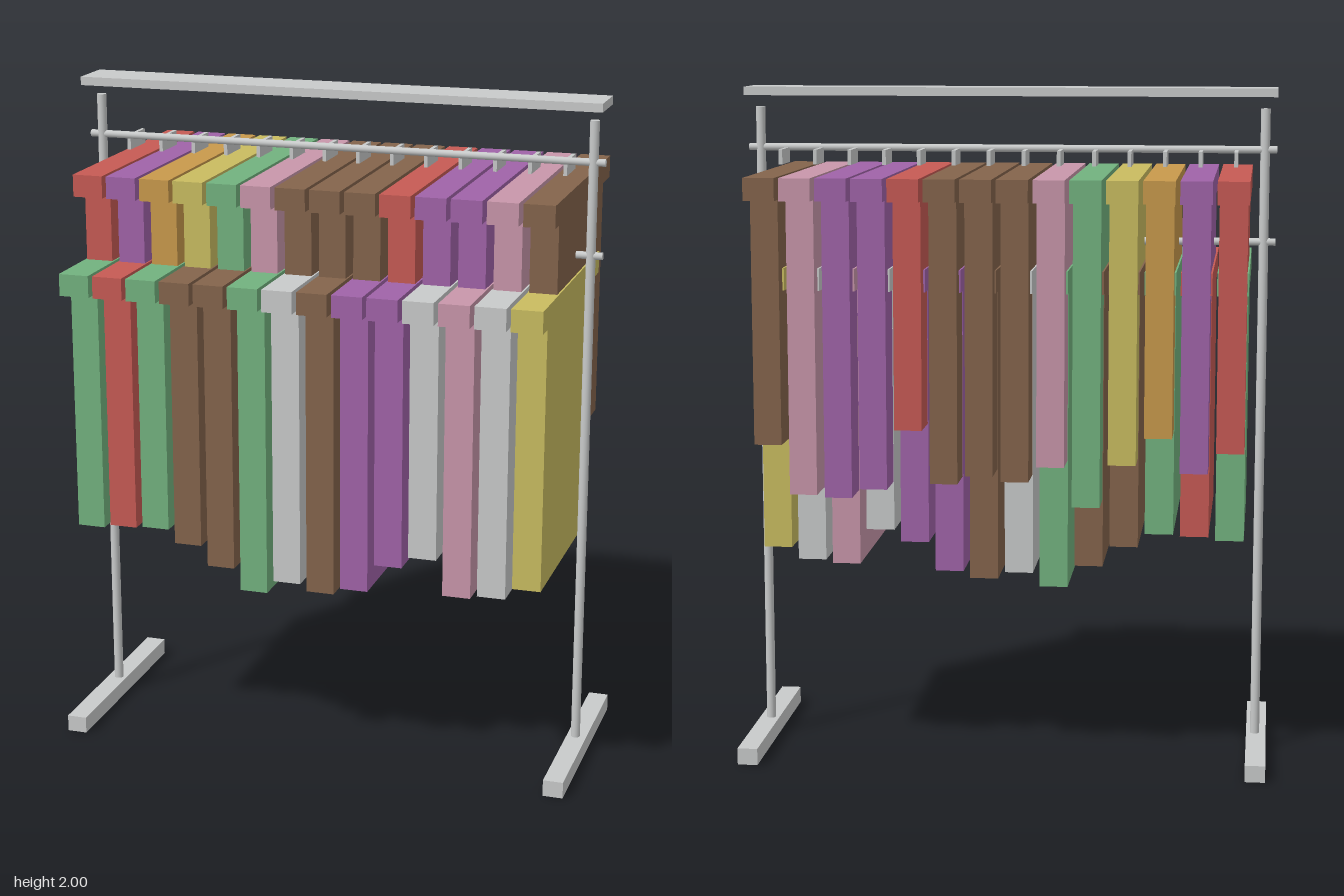
import * as THREE from 'three';

const mat = (name, color) => {
  const m = new THREE.MeshStandardMaterial({ color });
  m.name = name;
  return m;
};

export function createModel() {
  const model = new THREE.Group();
  model.name = 'clothesRack';

  const colours = {
    red: mat('red cloth', 0xc65a54),
    purple: mat('purple cloth', 0xa063a8),
    orange: mat('orange cloth', 0xc8994c),
    yellow: mat('yellow cloth', 0xc9bc60),
    green: mat('green cloth', 0x72b27f),
    pink: mat('pink cloth', 0xc896aa),
    brown: mat('brown cloth', 0x84644c),
    grey: mat('pale grey', 0xc8caca),
  };

  const add = (parent, name, geometry, material, x, y, z) => {
    const mesh = new THREE.Mesh(geometry, material);
    mesh.name = name;
    mesh.position.set(x, y, z);
    parent.add(mesh);
    return mesh;
  };
  const box = (parent, name, w, h, d, material, x, y, z) =>
    add(parent, name, new THREE.BoxGeometry(w, h, d), material, x, y, z);

  // Frame: feet, posts, two rails and the top shelf
  const frame = new THREE.Group();
  frame.name = 'frame';
  model.add(frame);
  for (const s of [-1, 1]) {
    box(frame, 'foot', 0.06, 0.05, 0.66, colours.grey, s * 0.754, 0.025, 0);
    add(frame, 'post', new THREE.CylinderGeometry(0.014, 0.014, 1.89, 16),
      colours.grey, s * 0.75, 0.995, 0);
  }
  for (const y of [1.82, 1.55]) {
    add(frame, 'rail', new THREE.CylinderGeometry(0.011, 0.011, 1.57, 16),
      colours.grey, 0, y, 0).rotation.z = Math.PI / 2;
  }
  box(frame, 'topShelf', 1.57, 0.025, 0.143, colours.grey, 0, 1.9875, 0);

  // Garments: [colour, hem height], from -x to +x
  const upper = [
    ['red', 0.98], ['purple', 0.92], ['orange', 1.02], ['yellow', 0.94], ['green', 0.815],
    ['pink', 0.93], ['brown', 0.885], ['brown', 0.9], ['brown', 0.875], ['red', 1.03],
    ['purple', 0.855], ['purple', 0.828], ['pink', 0.835], ['brown', 0.98],
  ];
  const lower = [
    ['green', 0.7], ['red', 0.71], ['green', 0.715], ['brown', 0.675], ['brown', 0.615],
    ['green', 0.55], ['grey', 0.59], ['brown', 0.57], ['purple', 0.59], ['purple', 0.675],
    ['grey', 0.71], ['pink', 0.605], ['grey', 0.615], ['yellow', 0.65],
  ];
  const xAt = (i) => (i - 6.5) * 0.1027;

  const hangRow = (name, list, top, z, bodyWidth) => {
    const row = new THREE.Group();
    row.name = name;
    model.add(row);
    list.forEach(([colour, hem], i) => {
      const garment = new THREE.Group();
      garment.name = 'garment';
      row.add(garment);
      const c = colours[colour];
      box(garment, 'body', bodyWidth, top - 0.002 - hem, 0.605, c, xAt(i), (top - 0.002 + hem) / 2, z);
      box(garment, 'shoulders', 0.09, 0.065, 0.75, c, xAt(i), top - 0.0325, z);
    });
  };
  hangRow('upperGarments', upper, 1.757, -0.06, 0.08);
  // Slightly wider so the two rows never share a face
  hangRow('lowerGarments', lower, 1.49, 0.061, 0.083);

  // Hanger hooks behind the upper rail
  upper.forEach((_, i) =>
    box(model, 'hook', 0.011, 0.044, 0.115, colours.grey, xAt(i), 1.797, -0.062));

  return model;
}
